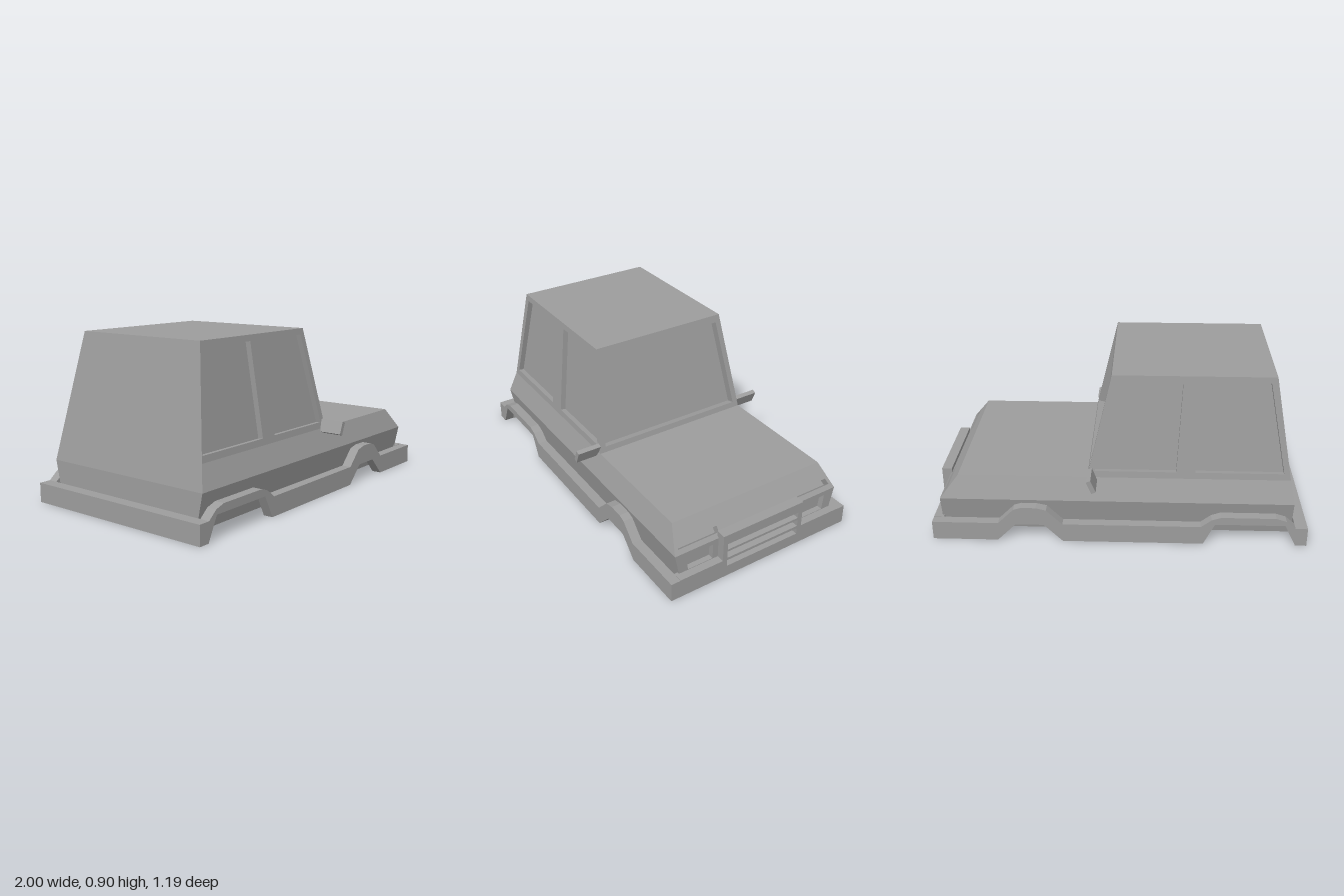
import * as THREE from 'three';
import { mergeGeometries } from 'three/addons/utils/BufferGeometryUtils.js';

const paint = new THREE.MeshStandardMaterial({ color: 0x9d9d9d, flatShading: true });

const shapeOf = (pts) => new THREE.Shape(pts.map(([x, y]) => new THREE.Vector2(x, y)));

function prism(pts, depth, holes = []) {
  const shape = shapeOf(pts);
  shape.holes = holes.map(shapeOf);
  return new THREE.ExtrudeGeometry(shape, { depth, bevelEnabled: false });
}

// Flat panel (corners counter-clockwise from outside) with recessed openings.
// Opening corners leave one coordinate null; it is solved to lie on the panel.
function panelGeometry(corners, openings = [], depth = 0.03) {
  const p = corners.map((c) => new THREE.Vector3(...c));
  const u = p[1].clone().sub(p[0]).normalize();
  const n = u.clone().cross(p[2].clone().sub(p[0])).normalize();
  const v = n.clone().cross(u);
  const flat = (q) => {
    const d = q.clone().sub(p[0]);
    return new THREE.Vector2(d.dot(u), d.dot(v));
  };
  const onPlane = (c) => {
    const k = c.indexOf(null);
    const q = new THREE.Vector3(...c.map((e, i) => (i === k ? p[0].getComponent(i) : e)));
    const off = q.clone().sub(p[0]).dot(n);
    return q.setComponent(k, q.getComponent(k) - off / n.getComponent(k));
  };

  const face = new THREE.Shape(p.map(flat));
  const parts = [];
  for (const opening of openings) {
    const h = opening.map((c) => flat(onPlane(c)));
    if (THREE.ShapeUtils.isClockWise(h)) h.reverse();
    face.holes.push(new THREE.Path(h));
    parts.push(new THREE.ShapeGeometry(new THREE.Shape(h)).translate(0, 0, -depth).toNonIndexed());
    // walls of the recess
    const pos = [];
    h.forEach((a, i) => {
      const b = h[(i + 1) % h.length];
      pos.push(a.x, a.y, 0, b.x, b.y, 0, b.x, b.y, -depth);
      pos.push(a.x, a.y, 0, b.x, b.y, -depth, a.x, a.y, -depth);
    });
    const walls = new THREE.BufferGeometry();
    walls.setAttribute('position', new THREE.Float32BufferAttribute(pos, 3));
    walls.setAttribute('uv', new THREE.Float32BufferAttribute(new Array(pos.length / 3 * 2).fill(0), 2));
    walls.computeVertexNormals();
    parts.push(walls);
  }
  parts.push(new THREE.ShapeGeometry(face).toNonIndexed());
  const m = new THREE.Matrix4().makeBasis(u, v, n).setPosition(p[0]);
  return mergeGeometries(parts).applyMatrix4(m);
}

export function createModel() {
  const car = new THREE.Group();
  car.name = 'car';
  const add = (name, geometry) => {
    const mesh = new THREE.Mesh(geometry, paint);
    mesh.name = name;
    car.add(mesh);
  };
  const panel = (name, ...args) => add(name, panelGeometry(...args));

  // Heights and half widths of the body: floor, waist, shoulder, roof
  const [y0, y1, y2, y3] = [0.03, 0.223, 0.345, 0.902];
  const [w0, w1, w2, w3] = [0.47, 0.51, 0.465, 0.395];
  const rear = -0.925, rearShoulder = -0.902, rearRoof = -0.8;
  const nose = 0.957, hoodFront = 0.86, hoodBack = 0.17, roofFront = 0.04;
  // Panel spanning the full width between two edges [x, y, halfWidth]
  const across = (name, a, b, ...rest) => panel(name,
    [[a[0], a[1], a[2]], [b[0], b[1], b[2]], [b[0], b[1], -b[2]], [a[0], a[1], -a[2]]], ...rest);

  // Body sides
  const sideWindows = [
    [[-0.865, 0.38, null], [-0.4, 0.38, null], [-0.427, 0.87, null], [-0.77, 0.87, null]],
    [[-0.3, 0.38, null], [0.13, 0.38, null], [0.015, 0.87, null], [-0.325, 0.87, null]],
  ];
  for (const [side, s] of [['right', -1], ['left', 1]]) {
    const sidePanel = (name, pts, ...rest) => {
      const c = pts.map(([x, y, z]) => [x, y, z * s]);
      panel(`${side}${name}`, s > 0 ? c : c.reverse(), ...rest);
    };
    sidePanel('LowerSide', [[rear, y0, w0], [nose, y0, w0], [nose, y1, w1], [rear, y1, w1]]);
    sidePanel('Shoulder', [[rear, y1, w1], [nose, y1, w1], [hoodFront, y2, w2], [rearShoulder, y2, w2]]);
    sidePanel('CabinSide', [[rearShoulder, y2, w2], [hoodBack, y2, w2], [roofFront, y3, w3],
      [rearRoof, y3, w3]], sideWindows);

    // Skirt with wheel arches
    add(`${side}Skirt`, prism([
      [-1, 0], [-0.94, 0], [-0.88, 0.122], [-0.51, 0.122], [-0.45, 0],
      [0.3, 0], [0.4, 0.1], [0.55, 0.1], [0.65, 0], [1, 0],
      [1, 0.105], [0.645, 0.105], [0.56, 0.19], [0.52, 0.203], [0.44, 0.203], [0.385, 0.19], [0.3, 0.105],
      [-0.435, 0.105], [-0.49, 0.148], [-0.54, 0.165], [-0.83, 0.165], [-0.885, 0.148], [-0.935, 0.105], [-1, 0.105],
    ], 0.053).translate(0, 0, s > 0 ? 0.505 : -0.558));

    // Door mirror
    add(`${side}Mirror`, prism([[0.117, 0.33], [0.14, 0.32], [0.167, 0.387], [0.144, 0.397]], 0.135)
      .translate(0, 0, s > 0 ? 0.46 : -0.595));
  }

  // Nose with recessed headlights and marker lights
  const bothSides = (pts) => [1, -1].map((s) => pts.map(([y, z]) => [null, y, z * s]));
  across('noseFace', [nose, y1, w1], [nose, y0, w0],
    bothSides([[0.11, 0.285], [0.11, 0.433], [0.197, 0.442], [0.197, 0.285]]), 0.03);
  across('noseSlope', [hoodFront, y2, w2], [nose, y1, w1],
    bothSides([[0.244, 0.24], [0.244, 0.483], [0.27, 0.473], [0.27, 0.24]]), 0.042);

  // Hood, windscreen, roof, tail and floor
  across('hood', [hoodBack, y2, w2], [hoodFront, y2, w2]);
  across('windscreen', [roofFront, y3, w3], [hoodBack, y2, w2],
    [[[null, 0.375, 0.43], [null, 0.375, -0.43], [null, 0.862, -0.368], [null, 0.862, 0.368]]], 0.045);
  across('roof', [rearRoof, y3, w3], [roofFront, y3, w3]);
  across('tailgate', [rear, y1, w1], [rearRoof, y3, w3]);
  across('tailLower', [rear, y0, w0], [rear, y1, w1]);
  across('floor', [nose, y0, w0], [rear, y0, w0]);

  // Front bumper and slotted grille in one plate
  const slot = (a, b) => [[-0.226, a], [0.226, a], [0.226, b], [-0.226, b]];
  add('bumperAndGrille', prism([
    [-0.505, 0], [0.505, 0], [0.505, 0.107], [0.253, 0.107], [0.253, 0.26],
    [-0.253, 0.26], [-0.253, 0.107], [-0.505, 0.107],
  ], 0.055, [slot(0.063, 0.1), slot(0.115, 0.155), slot(0.168, 0.203)])
    .rotateY(Math.PI / 2).translate(0.945, 0, 0));

  // Rear bumper
  add('rearBumper', new THREE.BoxGeometry(0.065, 0.105, 1.01).translate(-0.9675, 0.0525, 0));
  return car;
}
